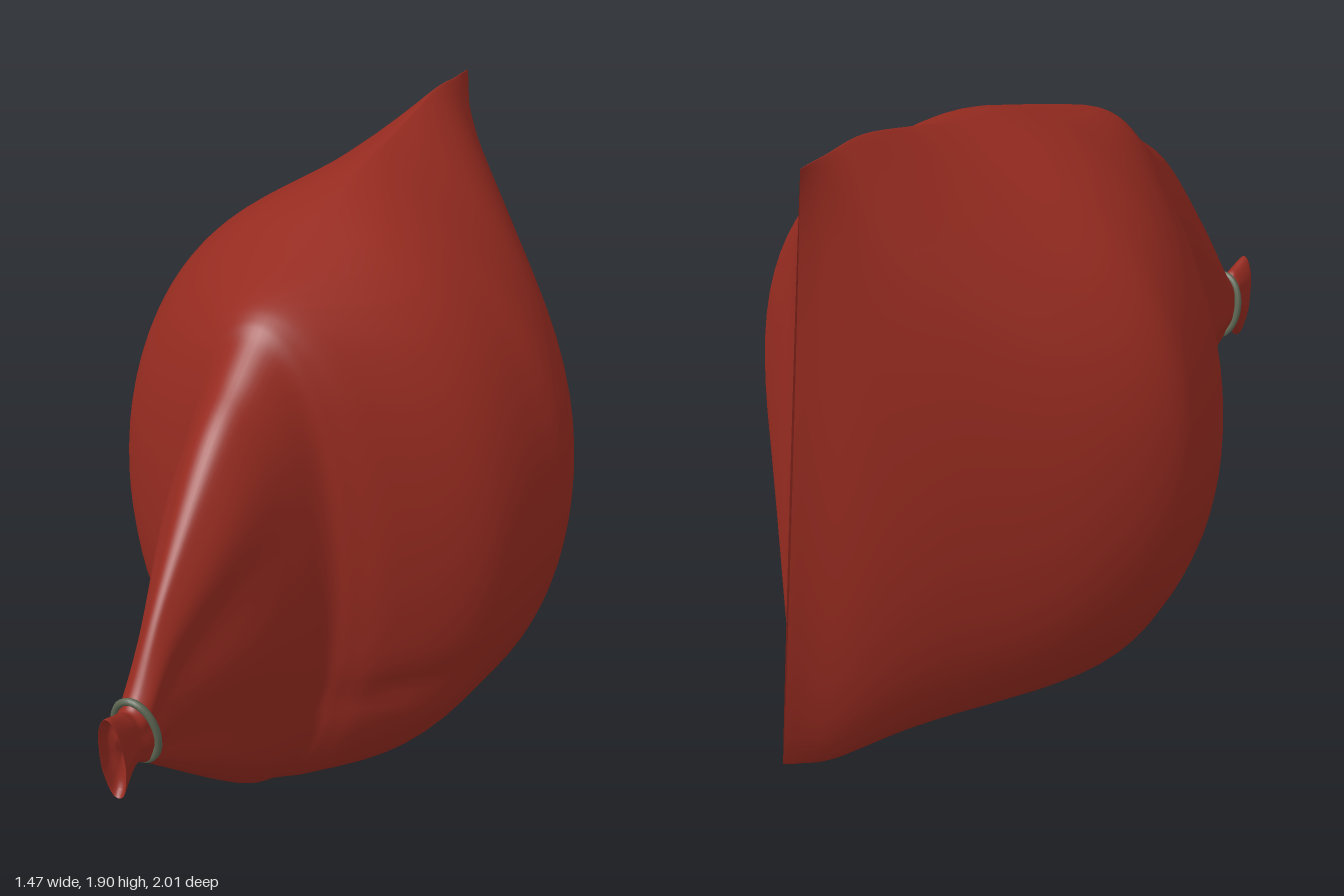
import * as THREE from 'three';

// The sack lies along a level axis from its tied neck to its sewn back edge.
const NECK = new THREE.Vector3(-0.64, 0, 0.88);
const ALONG = new THREE.Vector3(0.553, 0, -0.833);
const ACROSS = new THREE.Vector3(0.833, 0, 0.553);

// Point at distance s along the axis, t to the side and height y
function place(s, t, y) {
  return NECK.clone().addScaledVector(ALONG, s).addScaledVector(ACROSS, t).setY(y);
}

// Smooth hump of height 1 around a centre
function hump(value, centre, spread) {
  return Math.exp(-(((value - centre) / spread) ** 2));
}

// Cross-sections: distance at top, distance at bottom, top y, bottom y, half width
const SECTIONS = [
  [-0.09, -0.06, 0.69, 0.64, 0.004],
  [-0.10, -0.07, 0.75, 0.55, 0.03],
  [-0.135, -0.095, 0.785, 0.51, 0.04],
  [-0.06, -0.04, 0.762, 0.575, 0.042],
  [-0.005, 0.01, 0.765, 0.565, 0.055],
  [0.15, 0.15, 1.0, 0.46, 0.072],
  [0.41, 0.41, 1.33, 0.26, 0.16],
  [0.57, 0.57, 1.465, 0.15, 0.212],
  [0.665, 0.665, 1.545, 0.11, 0.248],
  [0.71, 0.71, 1.59, 0.09, 0.305],
  [0.79, 0.79, 1.63, 0.06, 0.41],
  [1.0, 1.0, 1.695, 0.005, 0.61],
  [1.24, 1.24, 1.77, 0.005, 0.69],
  [1.4, 1.4, 1.81, 0.013, 0.7],
  [1.6, 1.6, 1.85, 0.03, 0.595],
  [1.83, 1.85, 1.90, 0.05, 0.37],
  [1.98, 2.07, 1.895, 0.07, 0.18],
  [2.05, 2.19, 1.893, 0.12, 0.06],
  [2.08, 2.26, 1.89, 0.16, 0.004],
];

function sackGeometry() {
  const around = 80, steps = 6, size = 5;
  const count = SECTIONS.length;
  const spline = new THREE.CubicInterpolant(
    SECTIONS.map((_, i) => i), SECTIONS.flat(), size, new Float32Array(size));
  const rings = (count - 1) * steps + 1;
  const positions = [], index = [];
  for (let i = 0; i < rings; i++) {
    const [sTop, sBot, top, bottom, width] = spline.evaluate(i / steps);
    const mid = (top + bottom) / 2, half = (top - bottom) / 2;
    for (let j = 0; j < around; j++) {
      const a = (j / around) * Math.PI * 2;
      const c = Math.cos(a), sn = Math.sin(a);
      const s = THREE.MathUtils.lerp(sBot, sTop, (c + 1) / 2);
      const y = mid + half * c;
      // towards the back the upper half narrows to a seam; the lower half stays fuller
      const power = c < 0 ? 1 + 0.1 * c : 1 + 0.75 * c * THREE.MathUtils.smoothstep(s, 1.1, 1.6);
      let t = Math.max(width, 0.003) * Math.sign(sn) * Math.pow(Math.abs(sn), power);
      // gathers fanning out of the tied neck
      t *= 1 + 0.08 * hump(s, 0.2, 0.28) * Math.cos(7 * a + 0.6);
      // soft sideways tuck low on the front of the belly
      t *= 1 - 0.06 * hump(y, 0.44, 0.05) * hump(s, 0.8, 0.18);
      // the belly hangs a little to one side
      t -= 0.025 * hump(s, 1.35, 0.3);
      positions.push(...place(s, t, y).toArray());
    }
  }
  for (let i = 0; i < rings - 1; i++) {
    for (let j = 0; j < around; j++) {
      const k = (j + 1) % around;
      const a = i * around + j, b = i * around + k;
      const d = a + around, e = b + around;
      index.push(a, b, d, b, e, d);
    }
  }
  const geometry = new THREE.BufferGeometry();
  geometry.setAttribute('position', new THREE.Float32BufferAttribute(positions, 3));
  geometry.setIndex(index);
  geometry.computeVertexNormals();
  return geometry;
}

// Oval loop of cord around the neck
function tieGeometry() {
  const points = [];
  for (let i = 0; i < 16; i++) {
    const a = (i / 16) * Math.PI * 2;
    points.push(place(0.01 - 0.02 * Math.cos(a), 0.067 * Math.sin(a), 0.665 + 0.102 * Math.cos(a)));
  }
  const curve = new THREE.CatmullRomCurve3(points, true);
  return new THREE.TubeGeometry(curve, 48, 0.011, 8, true);
}

export function createModel() {
  const cloth = new THREE.MeshStandardMaterial({ color: 0x962b20, side: THREE.DoubleSide });
  cloth.name = 'red cloth';
  const cord = new THREE.MeshStandardMaterial({ color: 0x5c6552 });
  cord.name = 'grey green cord';

  const group = new THREE.Group();
  group.name = 'tiedSack';
  const sack = new THREE.Mesh(sackGeometry(), cloth);
  sack.name = 'sack';
  const tie = new THREE.Mesh(tieGeometry(), cord);
  tie.name = 'neckTie';
  group.add(sack, tie);
  return group;
}
